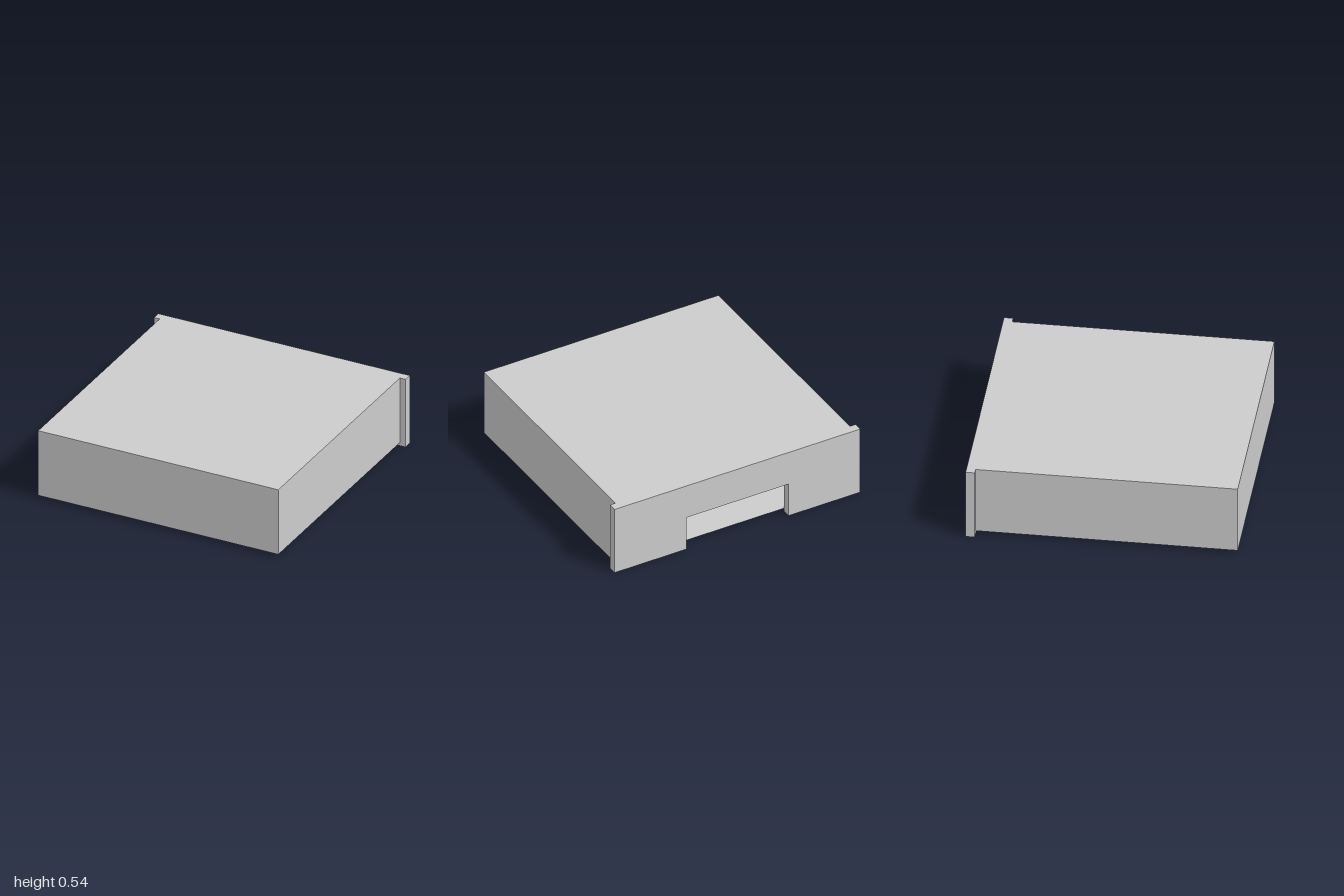
import * as THREE from 'three';

export function createModel() {
  const group = new THREE.Group();
  const grey = new THREE.MeshStandardMaterial({ color: 0xcccccc, side: THREE.DoubleSide });
  grey.name = 'light grey';

  const halfW = 0.955, bottom = 0.025, top = 0.544;
  const front = 0.967, back = -0.967, panelFront = -0.902;
  const height = top - bottom, depth = front - panelFront;
  const midY = (top + bottom) / 2, midZ = (front + panelFront) / 2;

  // Thin sheet, placed and turned
  function sheet(name, w, h, pos, rot) {
    const mesh = new THREE.Mesh(new THREE.PlaneGeometry(w, h), grey);
    mesh.name = name;
    mesh.position.set(...pos);
    mesh.rotation.set(...rot);
    group.add(mesh);
  }

  // Hollow case, open towards the rear panel
  const q = Math.PI / 2;
  sheet('frontWall', halfW * 2, height, [0, midY, front], [0, 0, 0]);
  sheet('lid', halfW * 2, depth, [0, top, midZ], [-q, 0, 0]);
  sheet('floor', halfW * 2, depth, [0, bottom, midZ], [q, 0, 0]);
  sheet('leftWall', depth, height, [halfW, midY, midZ], [0, q, 0]);
  sheet('rightWall', depth, height, [-halfW, midY, midZ], [0, -q, 0]);

  // Rear panel with a notch cut up from its lower edge
  const notchW = 0.415, notchH = 0.272;
  const outline = new THREE.Shape([
    [-1, 0], [-notchW, 0], [-notchW, notchH], [notchW, notchH],
    [notchW, 0], [1, 0], [1, top], [-1, top],
  ].map(([x, y]) => new THREE.Vector2(x, y)));
  const panel = new THREE.Mesh(
    new THREE.ExtrudeGeometry(outline, { depth: panelFront - back, bevelEnabled: false }), grey);
  panel.name = 'rearPanel';
  panel.position.z = back;
  group.add(panel);

  return group;
}
